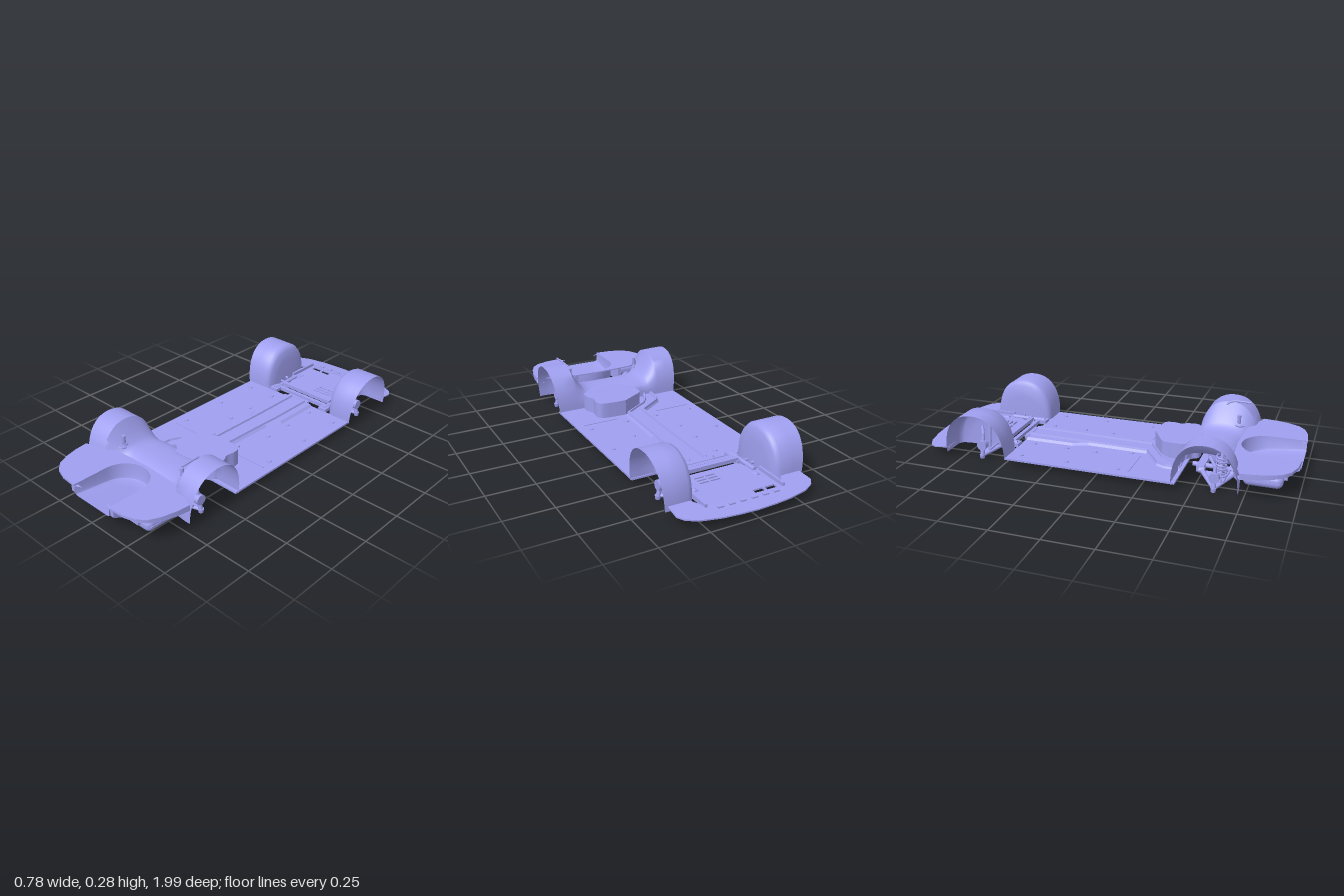
import * as THREE from 'three';
import { toCreasedNormals } from 'three/addons/utils/BufferGeometryUtils.js';
import { RoundedBoxGeometry } from 'three/addons/geometries/RoundedBoxGeometry.js';

const mat = new THREE.MeshStandardMaterial({ color: 0x9f9ff0, side: THREE.DoubleSide });
const V = (x, y, z) => new THREE.Vector3(x, y, z);

export function createModel() {
  const root = new THREE.Group();
  const add = (name, geo, x = 0, y = 0, z = 0) => {
    const m = new THREE.Mesh(geo, mat);
    m.name = name;
    m.position.set(x, y, z);
    root.add(m);
    return m;
  };
  const box = (name, w, h, d, x, y, z) => add(name, new THREE.BoxGeometry(w, h, d), x, y, z);
  const rod = (name, a, b, r, r2 = r) => {
    const d = b.clone().sub(a);
    const m = add(name, new THREE.CylinderGeometry(r2, r, d.length(), 12));
    m.position.copy(a).addScaledVector(d, 0.5);
    m.quaternion.setFromUnitVectors(V(0, 1, 0), d.normalize());
  };
  const pipe = (name, pts, r) =>
    add(name, new THREE.TubeGeometry(new THREE.CatmullRomCurve3(pts.map(p => V(...p))), 40, r, 10));
  // Sheet surface through rows of points
  const sheet = (name, rows, crease = 0.7) => {
    const n = rows[0].length, idx = [];
    for (let i = 0; i < rows.length - 1; i++)
      for (let j = 0; j < n - 1; j++) {
        const a = i * n + j, b = a + n;
        idx.push(a, b, a + 1, b, b + 1, a + 1);
      }
    const g = new THREE.BufferGeometry();
    g.setAttribute('position', new THREE.Float32BufferAttribute(rows.flat(2), 3));
    g.setIndex(idx);
    g.computeVertexNormals();
    return add(name, toCreasedNormals(g, crease));
  };
  // Flat plate from an x-z outline, its top at the given height
  const shapeOf = pts => new THREE.Shape(pts.map(p => new THREE.Vector2(...p)));
  const plate = (name, shape, top, depth) =>
    add(name, new THREE.ExtrudeGeometry(shape, { depth, bevelEnabled: false }).rotateX(Math.PI / 2), 0, top, 0);
  const rect = (x0, x1, z0, z1) => shapeOf([[x0, z0], [x1, z0], [x1, z1], [x0, z1]]);
  const flip = half => half.slice().reverse().map(([x, z]) => [-x, z]);

  // Main floor with the tunnel, closed below at both ends
  const tunnel = [[-0.485, -0.1, 0.11], [-0.22, -0.1, 0.11], [-0.14, -0.065, 0.07], [0.19, -0.07, 0.06],
    [0.28, -0.2, -0.08], [0.33, -0.22, -0.12], [0.405, -0.22, -0.16]];
  const outline = t => shapeOf([...t.map(([z, l]) => [l, z]), ...t.slice().reverse().map(([z, , r]) => [r, z])]);
  const floor = rect(-0.365, 0.365, -0.49, 0.42);
  floor.holes.push(outline(tunnel));
  plate('floorPan', floor, 0.044, 0.01);
  plate('tunnelCover', outline(tunnel.slice(0, 2)), 0.04, 0.006);
  plate('tunnelCover', outline(tunnel.slice(3)), 0.04, 0.006);
  sheet('tunnel', tunnel.map(([z, l, r]) =>
    [[l, 0.044, z], [l + 0.012, 0.056, z], [r - 0.012, 0.056, z], [r, 0.044, z]]), 0.3);
  for (const s of [-1, 1]) {
    sheet('tunnelRidge', tunnel.map(([z, l, r]) => {
      const c = (l + r) / 2 + s * Math.min(0.048, (r - l) * 0.34);
      return [[c - 0.01, 0.054, z], [c - 0.006, 0.066, z], [c + 0.006, 0.066, z], [c + 0.01, 0.054, z]];
    }), 0.3);
    // Floor plugs and seams
    for (const [x, z] of [[0.305, -0.42], [0.305, -0.165], [0.305, 0.11], [0.14, -0.42], [0.14, -0.23], [0.14, -0.07], [0.09, 0.115]])
      add('floorPlug', new THREE.CylinderGeometry(0.011, 0.013, 0.008, 16), s * x, 0.046, z);
    box('floorSeam', 0.2, 0.004, 0.006, s * 0.22, 0.045, 0.17);
  }

  // Fuel tank beside the tunnel, with rounded corners
  const tank = new THREE.Shape().moveTo(0.05, 0.205).splineThru([[0.12, 0.208], [0.19, 0.22], [0.207, 0.26], [0.2, 0.31],
    [0.218, 0.35], [0.21, 0.41], [0.1, 0.45], [0, 0.46], [-0.035, 0.425], [-0.078, 0.4], [-0.083, 0.33], [-0.075, 0.28], [-0.02, 0.245], [0.05, 0.205]]
    .map(p => new THREE.Vector2(...p)));
  plate('fuelTank', tank, 0.13, 0.097);

  // Rear arches joined by the raised floor: [x, top, base, rear z, sharpness of the leading edge]
  const sections = [[0.39, 0.265, 0.03, 0.725, 0.82], [0.33, 0.265, 0.03, 0.725, 0.82], [0.262, 0.265, 0.03, 0.718, 0.82],
    [0.249, 0.238, 0.035, 0.708, 0.82], [0.228, 0.197, 0.04, 0.695, 0.8], [0.205, 0.16, 0.04, 0.68, 0.7],
    [0.185, 0.14, 0.042, 0.672, 0.6], [0.15, 0.132, 0.045, 0.665, 0.4], [0.1, 0.13, 0.045, 0.66, 0.3], [0, 0.13, 0.045, 0.658, 0.3]];
  const N = 32;
  const archRow = (x, top, base, z0, z1, lean, s = 1, lead = 0.82) => Array.from({ length: N + 1 }, (_, i) => {
    const t = Math.PI * i / N, c = Math.cos(t), h = Math.pow(Math.max(0, Math.sin(t)), c < 0 ? lead : 0.82);
    const z = (z0 + z1) / 2 + Math.sign(c) * Math.pow(Math.abs(c), 0.9) * (z1 - z0) / 2 * s;
    return [x - lean * (1 - h), base + (top - base) * h * s, z];
  });
  const rearRow = s => ([x, t, b, z, lead]) => archRow(s * x, t, b, 0.4, z, x > 0.38 ? s * 0.025 : 0, 1, lead);
  sheet('rearArchesAndRaisedFloor', [...sections.map(rearRow(1)), ...sections.slice(0, -1).reverse().map(rearRow(-1))], 0.8);

  // Front arches closed by an inner wall: [x, scale]
  for (const s of [-1, 1])
    sheet('frontArch', [[0.39, 1], [0.32, 1], [0.25, 1], [0.232, 0.96], [0.222, 0.88], [0.216, 0.6], [0.214, 0.01]].map(([x, k]) =>
      archRow(s * x, 0.262, 0.035, -0.82, -0.485, x > 0.38 ? s * 0.02 : 0, k)), 0.9);

  // Boot floor with a recess open at its end
  const bend = Array.from({ length: 25 }, (_, i) => Math.PI * i / 24).map(t => [0.128 * Math.cos(t), 0.8 - 0.125 * Math.sin(t)]);
  const wellPath = [[0.128, 0.988], [0.128, 0.9], ...bend, [-0.128, 0.9], [-0.128, 0.988]];
  const side = [[0.378, 0.73], [0.37, 0.8], [0.352, 0.87], [0.325, 0.925], [0.285, 0.96], [0.22, 0.982], [0.13, 0.99]];
  plate('bootFloor', shapeOf([[0, 0.655], [0.2, 0.665], ...side, ...wellPath, ...flip(side), [-0.2, 0.665]]), 0.146, 0.006);
  const wellY = z => THREE.MathUtils.mapLinear(z, 0.67, 0.99, 0.055, 0.092);
  sheet('spareWheelRecess', wellPath.map(([x, z]) => [[1, 1], [0.98, 0.2], [0.95, 0.05], [0.88, 0], [0.4, 0], [0, 0]].map(([k, up]) => {
    const zz = z < 0.8 ? 0.8 + (z - 0.8) * k : z, y = wellY(zz);
    return [x * k, y + (0.144 - y) * up, zz];
  })));
  // Side profile of the tapering rails beside the recess
  const railSide = shapeOf([[-0.68, 0.045], [-0.68, 0.14], [-0.985, 0.14], [-0.985, 0.1], [-0.92, 0.068]]);
  for (const s of [-1, 1]) {
    sheet('bootSkirt', side.map(([x, z], i) => {
      const y = 0.137 - 0.022 * (1 - i / (side.length - 1));
      return [[s * x, 0.145, z], [s * x, y, z], [s * (x - 0.04), y + 0.002, z - 0.02]];
    }));
    add('rearRail', new THREE.ExtrudeGeometry(railSide, { depth: 0.022, bevelEnabled: false }).rotateY(Math.PI / 2), s * 0.143 - 0.011, 0, 0);
    // Silencers
    add('silencer', new RoundedBoxGeometry(0.165, 0.068, 0.19, 5, 0.03), s * 0.235, 0.09, 0.83);
    box('silencerSeam', 0.172, 0.006, 0.16, s * 0.235, 0.09, 0.83);
    box('silencerHanger', 0.05, 0.026, 0.03, s * 0.24, 0.104, 0.925);
    pipe('exhaustPipe', [[s * 0.23, 0.075, 0.75], [s * 0.17, 0.06, 0.7], [s * 0.13, 0.05, 0.6], [s * 0.1, 0.04, 0.45]], 0.013);
  }
  pipe('rearCrossTube', [[-0.2, 0.07, 0.7], [-0.15, 0.042, 0.72], [-0.07, 0.03, 0.73], [0, 0.027, 0.73],
    [0.07, 0.03, 0.73], [0.15, 0.042, 0.72], [0.2, 0.07, 0.7]], 0.013);
  for (const z of [0.5, 0.66]) box('rearSubframe', 0.34, 0.03, 0.04, 0, 0.045, z);
  add('differential', new RoundedBoxGeometry(0.12, 0.07, 0.13, 4, 0.02), 0, 0.07, 0.58);
  pipe('fillerPipe', [[0.255, 0.25, 0.54], [0.262, 0.267, 0.57], [0.266, 0.269, 0.67]], 0.005);

  // Suspension; the rear has coil springs, the front slim struts inside the arches
  for (const { name, z, sx, shaft } of [{ name: 'rear', z: 0.6, sx: 0.21, shaft: 0.05 }, { name: 'front', z: -0.645, sx: 0.24, shaft: 0.2 }])
    for (const s of [-1, 1]) {
      for (const dz of [-0.09, 0.07]) {
        rod(name + 'LowerArm', V(s * 0.17, 0.042, z + dz), V(s * 0.305, 0.014, z), 0.013, 0.009);
        add(name + 'ArmBush', new THREE.CylinderGeometry(0.016, 0.016, 0.03, 12).rotateX(Math.PI / 2), s * 0.17, 0.042, z + dz);
      }
      sheet(name + 'ArmWeb', [[[s * 0.17, 0.042, z - 0.09], [s * 0.17, 0.042, z + 0.07]], [[s * 0.305, 0.014, z - 0.01], [s * 0.305, 0.014, z + 0.01]]]);
      rod(name + 'TieRod', V(s * 0.17, 0.06, z + 0.05), V(s * 0.3, 0.05, z + 0.04), 0.006);
      rod(name + 'UpperArm', V(s * 0.22, 0.14, z - 0.04), V(s * 0.285, 0.12, z), 0.008);
      rod(name + 'Upright', V(s * 0.31, 0.008, z), V(s * 0.285, 0.125, z), 0.012, 0.009);
      add(name + 'BallJoint', new THREE.CylinderGeometry(0.015, 0.012, 0.02, 12), s * 0.31, 0.01, z);
      add(name + 'Hub', new THREE.CylinderGeometry(0.026, 0.026, 0.03, 20).rotateZ(Math.PI / 2), s * 0.3, 0.07, z);
      rod(name + 'DriveShaft', V(s * shaft, 0.06, z), V(s * 0.3, 0.07, z), 0.008);
      rod(name + 'Damper', V(s * 0.26, 0.03, z + 0.02), V(s * sx, 0.205, z + 0.02), 0.008);
      if (name === 'front') continue;
      rod('rearDamperCap', V(s * 0.212, 0.17, z + 0.02), V(s * 0.21, 0.212, z + 0.02), 0.01);
      const coil = Array.from({ length: 61 }, (_, i) => {
        const k = i / 60, a = k * 12 * Math.PI;
        return V(s * (0.252 - 0.025 * k) + 0.026 * Math.cos(a), 0.06 + 0.1 * k, z + 0.02 + 0.026 * Math.sin(a));
      });
      add('rearSpring', new THREE.TubeGeometry(new THREE.CatmullRomCurve3(coil), 150, 0.005, 6));
    }

  // Front undertray with vent slots
  const trayHalf = [[0.21, -0.9], [0.215, -0.7], [0.17, -0.64], [0.15, -0.6]];
  const tray = shapeOf([...trayHalf, ...flip(trayHalf)]);
  for (const z of [-0.7, -0.675, -0.65])
    for (const x of [0.005, 0.065]) tray.holes.push(rect(x, x + 0.052, z, z + 0.01));
  for (const x of [-0.18, -0.115]) tray.holes.push(rect(x, x + 0.055, -0.885, -0.858));
  plate('frontUndertray', tray, 0.052, 0.008);
  for (let i = 0; i < 6; i++) box('trayTab', 0.03, 0.008, 0.014, -0.15 + i * 0.06, 0.055, -0.918);

  // Nose lip, dropping towards its tip
  const lipHalf = [[0.2, -0.895], [0.245, -0.82], [0.355, -0.815], [0.36, -0.9],
    [0.335, -0.935], [0.28, -0.965], [0.18, -0.987], [0.09, -0.996], [0, -1]];
  const lip = plate('noseLip', shapeOf([...lipHalf, ...flip(lipHalf).slice(1)]), 0.06, 0.007);
  const p = lip.geometry.attributes.position;
  for (let i = 0; i < p.count; i++) p.setY(i, p.getY(i) + (p.getZ(i) + 0.83) * 0.08);
  lip.geometry.computeVertexNormals();

  // Front subframe
  for (const [w, y, z] of [[0.34, 0.06, -0.575], [0.4, 0.05, -0.535], [0.14, 0.045, -0.5]]) box('frontCrossBeam', w, 0.02, 0.022, 0, y, z);
  for (const s of [-1, 1]) {
    box('trayEdge', 0.012, 0.02, 0.19, s * 0.208, 0.06, -0.8);
    rod('subframeStay', V(s * 0.185, 0.055, -0.7), V(s * 0.18, 0.055, -0.5), 0.012);
    box('subframeMount', 0.05, 0.02, 0.04, s * 0.18, 0.05, -0.505);
  }
  return root;
}
